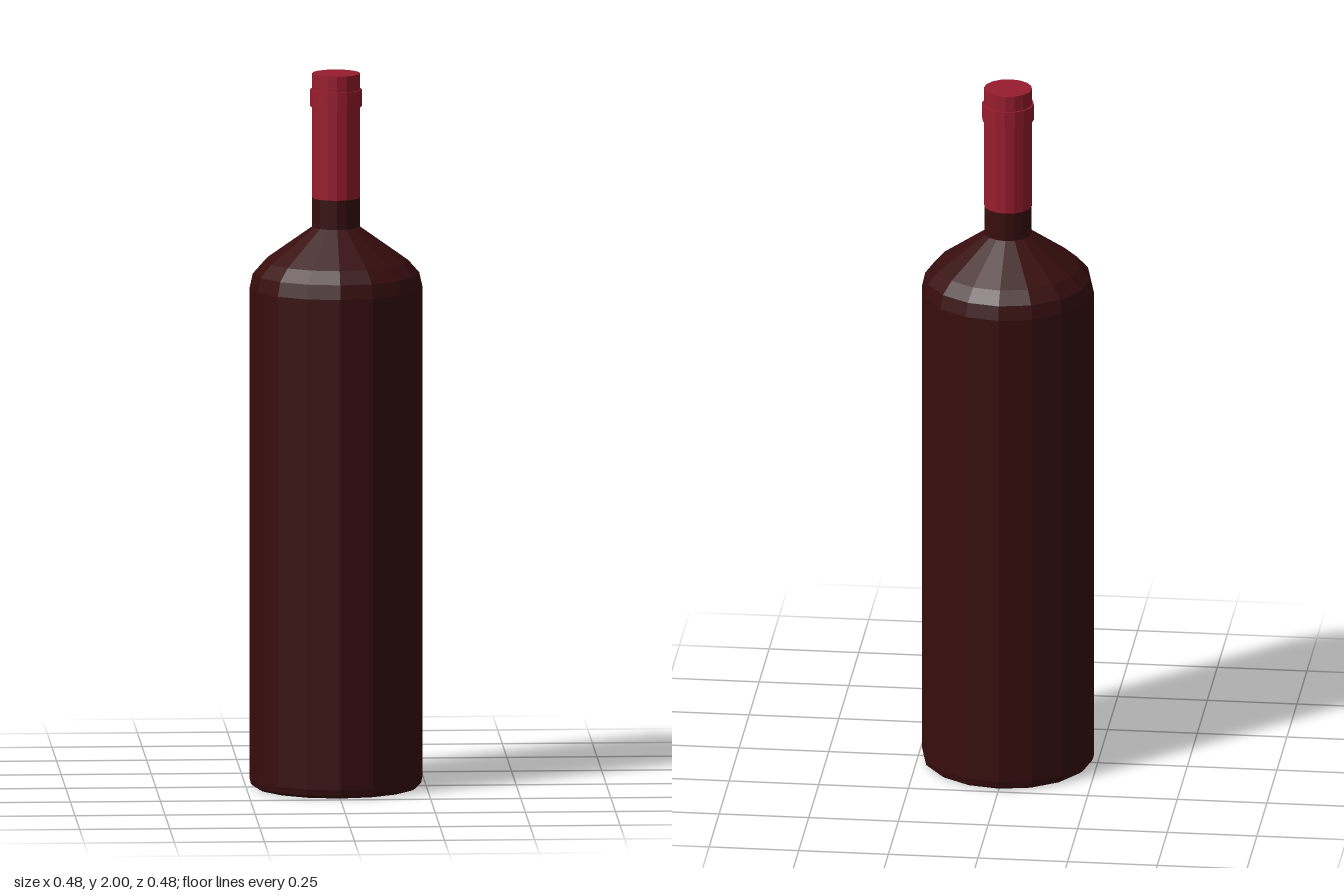
import * as THREE from 'three';

const SIDES = 16;

// Faceted solid of revolution from [radius, height] pairs, listed bottom to top
function turned(name, profile, material) {
  const points = profile.map(([r, y]) => new THREE.Vector2(r, y));
  const mesh = new THREE.Mesh(new THREE.LatheGeometry(points, SIDES), material);
  mesh.name = name;
  return mesh;
}

export function createModel() {
  const bottle = new THREE.Group();
  bottle.name = 'wineBottle';

  const glass = new THREE.MeshStandardMaterial({ color: 0x380d0e, flatShading: true });
  const foil = new THREE.MeshStandardMaterial({ color: 0x981c2d, flatShading: true });

  // Body with bevelled foot, rounded shoulder and bare neck
  bottle.add(turned('glassBody', [
    [0, 0], [0.225, 0], [0.236, 0.008], [0.24, 0.025],
    [0.24, 1.4], [0.231, 1.44], [0.2, 1.475],
    [0.066, 1.57], [0.066, 1.655],
  ], glass));

  // Foil sleeve over the upper neck, closed at the top
  bottle.add(turned('foilCapsule', [
    [0, 1.652], [0.067, 1.652], [0.067, 2], [0, 2],
  ], foil));

  // Raised lip below the mouth
  bottle.add(turned('lipRing', [
    [0.06, 1.908], [0.072, 1.908], [0.072, 1.955], [0.06, 1.955],
  ], foil));

  return bottle;
}
